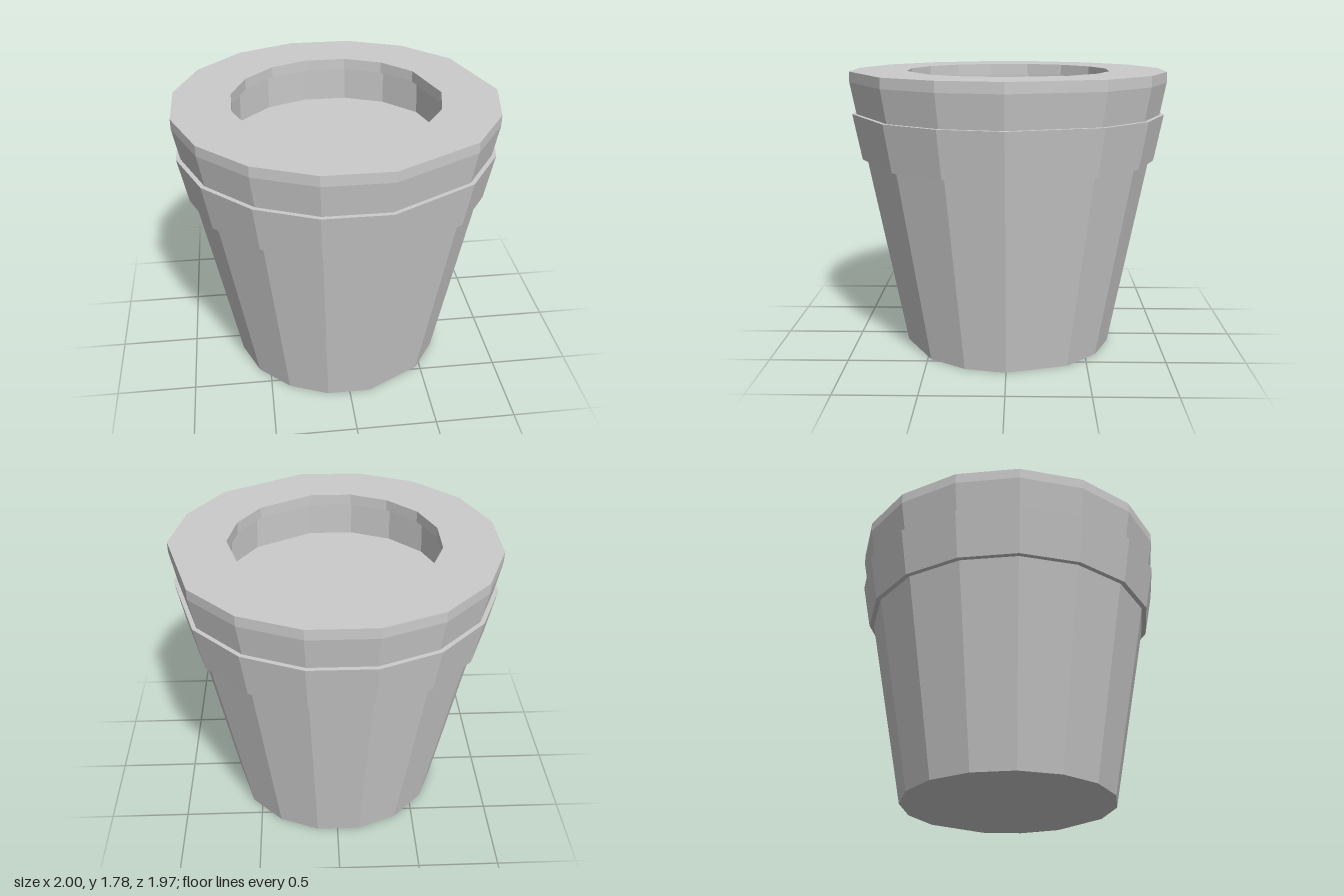
import * as THREE from 'three';

// Slightly irregular fifteen-sided outline of the pot as [x, z], at unit scale
const OUTLINE = [
  [1, 0], [0.92, 0.38], [0.7, 0.71], [0.19, 0.985], [-0.21, 0.985],
  [-0.57, 0.835], [-0.85, 0.56], [-1, 0.2], [-1, -0.2], [-0.85, -0.56],
  [-0.57, -0.84], [-0.21, -0.985], [0.19, -0.985], [0.55, -0.84], [0.83, -0.56],
];

// Sweeps a profile of [scale, y] pairs around the outline; scale 0 closes to a point
function loft(name, profile, material) {
  const positions = [];
  const point = ([s, y], i) => {
    const [x, z] = OUTLINE[i % OUTLINE.length];
    return [x * s, y, z * s];
  };
  for (let k = 0; k < profile.length - 1; k++) {
    const a = profile[k];
    const b = profile[k + 1];
    for (let i = 0; i < OUTLINE.length; i++) {
      if (b[0] > 0) positions.push(...point(a, i), ...point(b, i), ...point(b, i + 1));
      if (a[0] > 0) positions.push(...point(a, i), ...point(b, i + 1), ...point(a, i + 1));
    }
  }
  const geometry = new THREE.BufferGeometry();
  geometry.setAttribute('position', new THREE.Float32BufferAttribute(positions, 3));
  geometry.computeVertexNormals();
  const mesh = new THREE.Mesh(geometry, material);
  mesh.name = name;
  return mesh;
}

export function createModel() {
  const group = new THREE.Group();
  group.name = 'flowerPot';
  const material = new THREE.MeshStandardMaterial({ color: 0xcccccc, flatShading: true });

  // Tapered body with a closed base
  group.add(loft('body', [[0, 0], [0.673, 0], [0.905, 1.23]], material));

  // Collar band that steps out from the body
  group.add(loft('collar', [[0.905, 1.23], [0.935, 1.23], [0.99, 1.52], [0.963, 1.52]], material));

  // Thick rim: flared outside, flat top, short lip and undercut inner wall
  group.add(loft('rim', [
    [0.963, 1.52], [1, 1.72], [1, 1.785], [0.645, 1.785],
    [0.645, 1.715], [0.69, 1.715], [0.7, 1.48],
  ], material));

  // Flat soil surface inside the opening
  group.add(loft('soil', [[0.7, 1.48], [0, 1.48]], material));

  return group;
}
